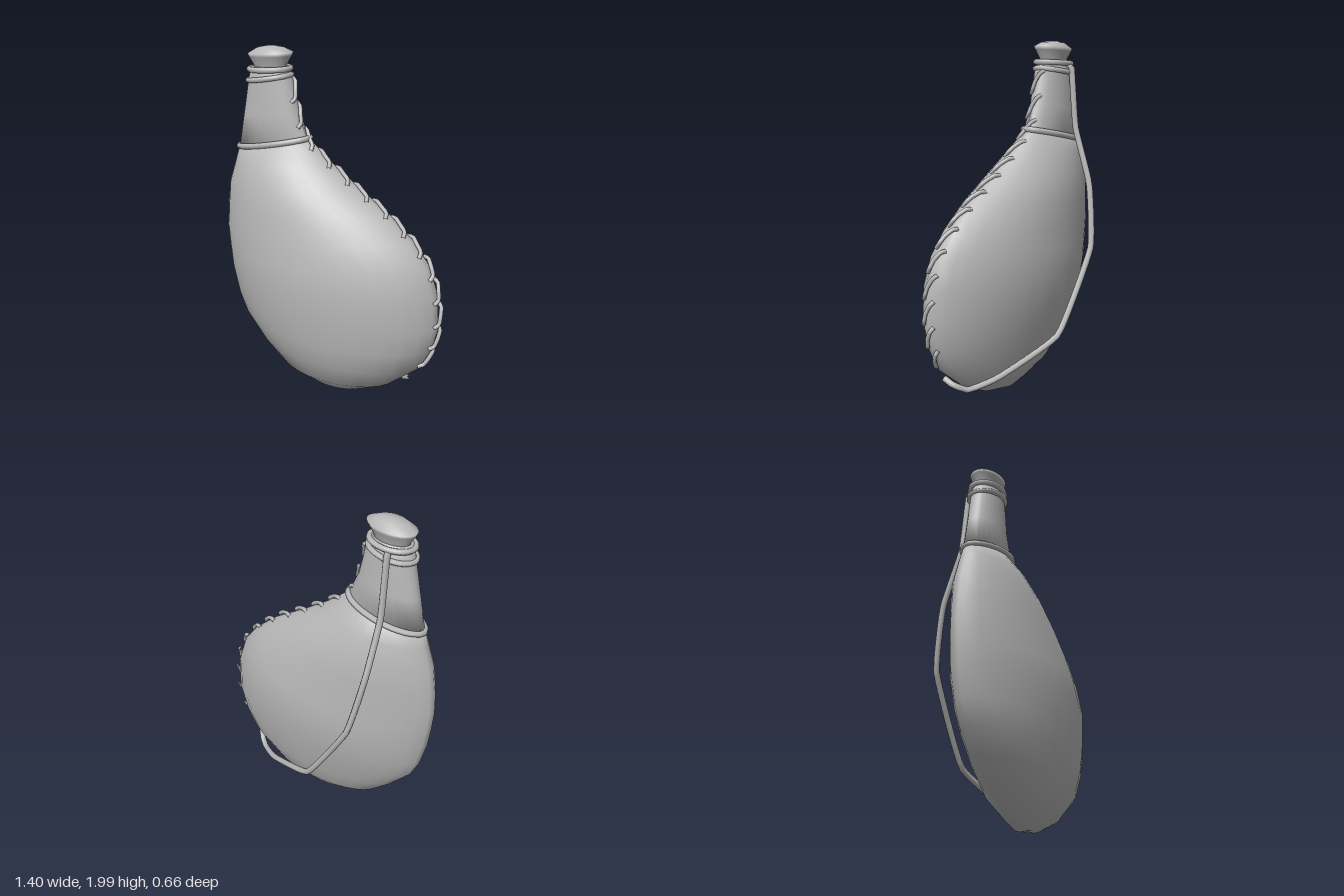
import * as THREE from 'three';

const leather = new THREE.MeshStandardMaterial({ color: 0xb8b8b8 });
leather.name = 'plain grey';

const SIDES = 28;

// One point of a lens-shaped loop; row = [yLow-x side, x min, y high-x side, x max, z front, z back, roundness]
function loopPoint([yA, xA, yB, xB, zF, zB, p], t) {
  const c = Math.cos(t), s = Math.sin(t), k = (c + 1) / 2;
  const depth = Math.pow(Math.abs(s), 2 * p);
  return [xA + (xB - xA) * k, yA + (yB - yA) * k, depth * (s >= 0 ? zF : zB)];
}

// Skin through loops listed from top to bottom, closed at both ends
function loft(name, rows) {
  const pos = [], idx = [];
  rows.forEach(r => {
    for (let j = 0; j < SIDES; j++) pos.push(...loopPoint(r, (j / SIDES) * Math.PI * 2));
  });
  for (let i = 0; i < rows.length - 1; i++) {
    for (let j = 0; j < SIDES; j++) {
      const n = (j + 1) % SIDES, a = i * SIDES + j, b = i * SIDES + n;
      idx.push(a, b, a + SIDES, b, b + SIDES, a + SIDES);
    }
  }
  const last = (rows.length - 1) * SIDES;
  for (let j = 1; j < SIDES - 1; j++) {
    idx.push(0, j + 1, j, last, last + j, last + j + 1);
  }
  const g = new THREE.BufferGeometry();
  g.setAttribute('position', new THREE.Float32BufferAttribute(pos, 3));
  g.setIndex(idx);
  g.computeVertexNormals();
  const m = new THREE.Mesh(g, leather);
  m.name = name;
  return m;
}

// Cord through points, with closed ends sunk into other parts
function cord(name, points, radius, closed = false, steps = 40, tension = 0.3) {
  const curve = new THREE.CatmullRomCurve3(points.map(p => new THREE.Vector3(...p)), closed, 'catmullrom', tension);
  const m = new THREE.Mesh(new THREE.TubeGeometry(curve, steps, radius, 7, closed), leather);
  m.name = name;
  return m;
}

// Cord tied around a loop
function ring(name, row, radius) {
  const pts = [];
  for (let j = 0; j < 16; j++) pts.push(loopPoint(row, (j / 16) * Math.PI * 2));
  return cord(name, pts, radius, true, 32);
}

export function createModel() {
  const group = new THREE.Group();
  group.name = 'waterskin';

  // Swollen bag, leaning out to one side
  const bag = [
    [1.41, -0.60, 1.50, -0.14, 0.10, -0.10, 0.55],
    [1.33, -0.625, 1.38, 0.00, 0.17, -0.15, 0.62],
    [1.20, -0.67, 1.26, 0.17, 0.225, -0.19, 0.66],
    [1.06, -0.69, 1.13, 0.37, 0.26, -0.21, 0.68],
    [0.92, -0.70, 1.00, 0.52, 0.29, -0.22, 0.68],
    [0.80, -0.69, 0.88, 0.615, 0.31, -0.23, 0.68],
    [0.68, -0.675, 0.72, 0.67, 0.327, -0.24, 0.68],
    [0.52, -0.635, 0.52, 0.68, 0.31, -0.215, 0.66],
    [0.40, -0.58, 0.38, 0.645, 0.295, -0.185, 0.64],
    [0.27, -0.47, 0.25, 0.575, 0.265, -0.155, 0.62],
    [0.14, -0.33, 0.11, 0.40, 0.20, -0.11, 0.6],
    [0.05, -0.14, 0.04, 0.24, 0.11, -0.05, 0.55],
    [0.005, -0.01, 0.005, 0.05, 0.05, -0.01, 0.5],
  ];
  group.add(loft('bag', bag));

  // Neck
  const neck = [
    [1.88, -0.50, 1.89, -0.27, 0.075, -0.075, 0.5],
    [1.80, -0.52, 1.82, -0.24, 0.085, -0.085, 0.5],
    [1.60, -0.56, 1.64, -0.20, 0.09, -0.09, 0.5],
    [1.41, -0.60, 1.50, -0.14, 0.10, -0.10, 0.55],
  ];
  group.add(loft('neck', neck));

  // Flared stopper with a domed top
  group.add(loft('stopper', [
    [1.998, -0.40, 1.998, -0.34, 0.02, -0.02, 0.5],
    [1.985, -0.46, 1.99, -0.29, 0.06, -0.06, 0.5],
    [1.95, -0.52, 1.97, -0.24, 0.09, -0.09, 0.5],
    [1.935, -0.515, 1.95, -0.25, 0.085, -0.085, 0.5],
    [1.89, -0.485, 1.90, -0.28, 0.062, -0.062, 0.5],
    [1.86, -0.485, 1.87, -0.28, 0.062, -0.062, 0.5],
  ]));

  // Cords bound round the neck
  group.add(ring('upperNeckCord', [1.865, -0.51, 1.88, -0.26, 0.09, -0.09, 0.5], 0.016));
  group.add(ring('middleNeckCord', [1.80, -0.52, 1.845, -0.255, 0.095, -0.095, 0.5], 0.015));
  group.add(ring('lowerNeckCord', [1.41, -0.60, 1.505, -0.135, 0.108, -0.108, 0.55], 0.017));

  // Carrying strap hanging behind the bag
  group.add(cord('strap', [
    [-0.41, 1.87, -0.07], [-0.42, 1.85, -0.105], [-0.42, 1.50, -0.14], [-0.41, 1.18, -0.25],
    [-0.34, 0.82, -0.315], [-0.06, 0.36, -0.295], [0.30, 0.18, -0.16],
    [0.45, 0.13, -0.07], [0.52, 0.17, -0.02], [0.535, 0.20, 0.03],
  ], 0.018, false, 48, 0.2));

  // Thread stitched along the outer seam of the neck and bag
  const seam = new THREE.CatmullRomCurve3(
    [...neck.slice(0, 3), ...bag.slice(0, 10)].map(r => new THREE.Vector3(r[3], r[2], 0)));
  const stitches = new THREE.Group();
  stitches.name = 'stitches';
  const COUNT = 14;
  for (let i = 0; i < COUNT; i++) {
    const pts = [[0, -0.015, -0.028], [0.15, 0.006, -0.018], [0.5, 0.01, 0.006], [0.8, 0.008, 0.018], [0.95, -0.012, 0.04]]
      .map(([f, out, z]) => {
        const u = 0.03 + 0.96 * (i + f) / COUNT;
        const p = seam.getPointAt(u), t = seam.getTangentAt(u);
        return [p.x - t.y * out, p.y + t.x * out, z];
      });
    stitches.add(cord('stitch', pts, 0.012, false, 10));
  }
  group.add(stitches);

  return group;
}
